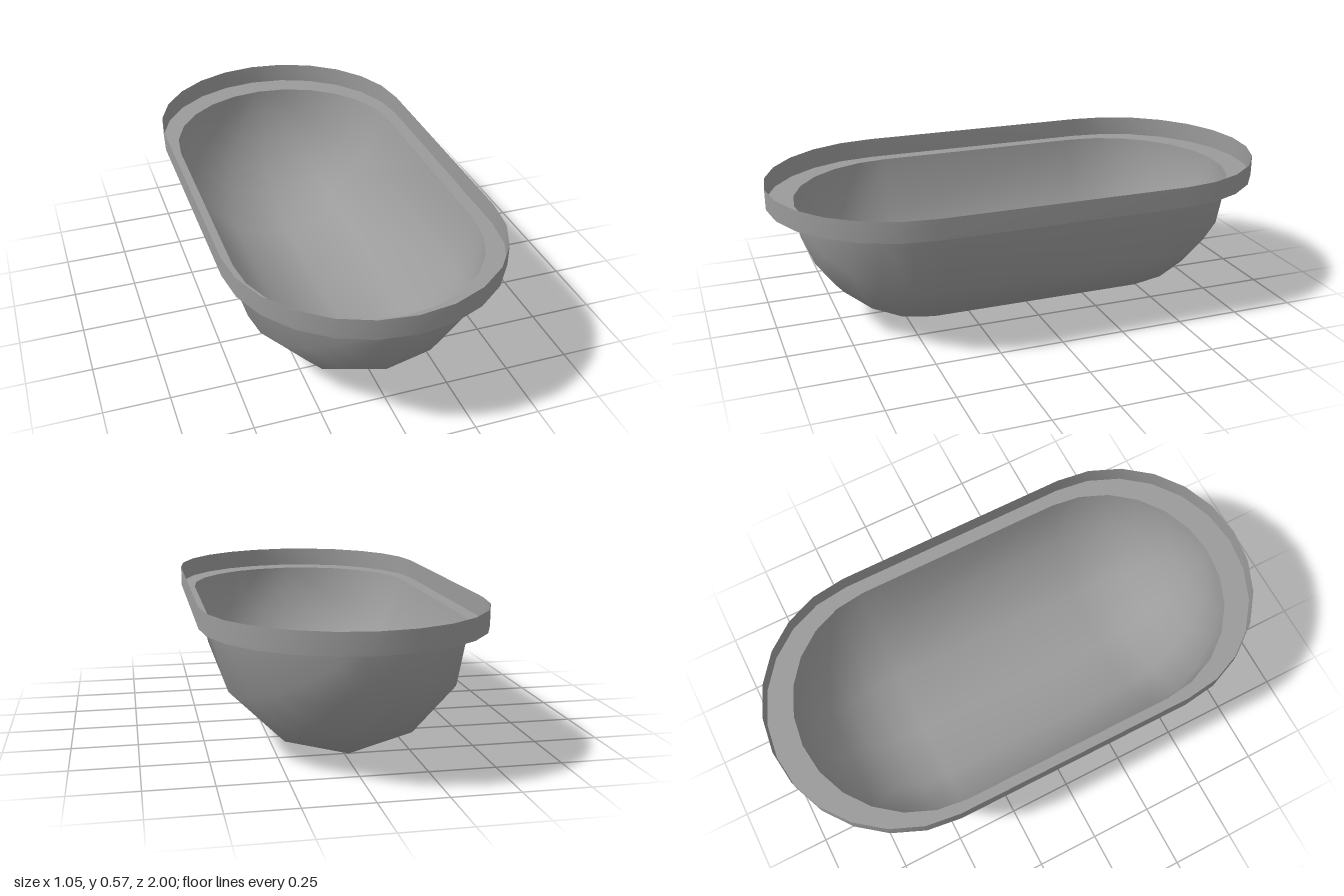
import * as THREE from 'three';
import { mergeVertices } from 'three/addons/utils/BufferGeometryUtils.js';

const RIM_Y = 0.49, TOP_Y = 0.57, STEP = Math.PI / 12;

// Smooth surface through rows of points; closed joins the last column to the first.
function surface(rows, closed) {
  const n = rows[0].length, index = [];
  for (let i = 0; i < rows.length - 1; i++) {
    for (let j = 0; j < (closed ? n : n - 1); j++) {
      const k = (j + 1) % n;
      const a = i * n + j, b = i * n + k, c = a + n, d = b + n;
      index.push(a, c, b, b, c, d);
    }
  }
  let g = new THREE.BufferGeometry();
  g.setAttribute('position', new THREE.Float32BufferAttribute(rows.flat(2), 3));
  g.setIndex(index);
  g = mergeVertices(g, 1e-5);
  g.computeVertexNormals();
  return g;
}

// Stadium outline: two half ellipses joined by straight sides.
function outline(halfWidth, straight, halfLength, y) {
  const pts = [];
  for (const s of [1, -1]) {
    for (let k = -6; k <= 6; k++) {
      const t = k * STEP;
      pts.push([s * halfWidth * Math.sin(t), y, s * (straight + (halfLength - straight) * Math.cos(t))]);
    }
  }
  return pts;
}

// Half capsule lying along z, with six facets across and six bands per end.
function bowlRows() {
  const STRAIGHT = 0.43, LENGTH = 0.895, rows = [];
  for (let i = 0; i < 14; i++) {
    const s = i < 7 ? 1 : -1;
    const u = (i < 7 ? i : 13 - i) * STEP;
    const r = Math.sin(u), z = s * (STRAIGHT + (LENGTH - STRAIGHT) * Math.cos(u));
    const row = [];
    for (let j = -3; j <= 3; j++) {
      // below the rim the hull is slightly fuller and turned a touch
      const atRim = Math.abs(j) === 3;
      const a = j * Math.PI / 6 - (atRim ? 0 : 0.011);
      const width = atRim ? 0.472 : 0.488;
      row.push([r * width * Math.sin(a), RIM_Y * (1 - r * Math.cos(a)), z]);
    }
    rows.push(row);
  }
  return rows;
}

export function createModel() {
  const group = new THREE.Group();
  group.name = 'basin';
  const material = new THREE.MeshStandardMaterial({ color: 0x9b9b9b, side: THREE.DoubleSide });
  const add = (name, geometry) => {
    const mesh = new THREE.Mesh(geometry, material);
    mesh.name = name;
    group.add(mesh);
  };

  const inner = outline(0.472, 0.43, 0.895, RIM_Y);
  const outer = y => outline(0.526, 0.48, 1, y);

  // open rounded trough
  add('bowl', surface(bowlRows(), false));
  // flat shelf around the opening
  add('rimLedge', surface([inner, outer(RIM_Y)], true));
  // thin upright lip at the outer edge of the shelf
  add('rimLip', surface([outer(TOP_Y), outer(RIM_Y)], true));

  return group;
}
